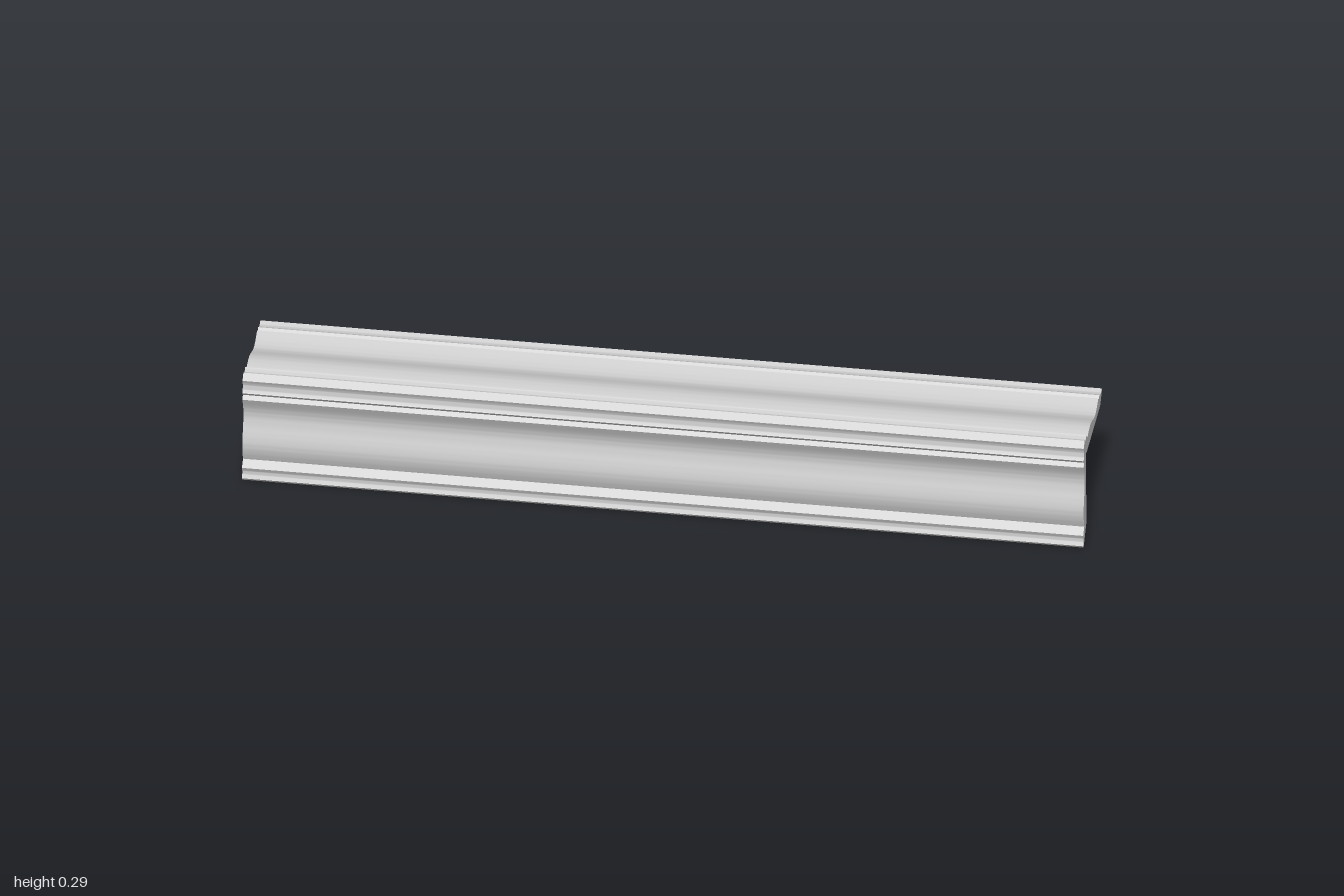
import * as THREE from 'three';
import { toCreasedNormals } from 'three/addons/utils/BufferGeometryUtils.js';

// Runs of the moulding profile as [z, y]; each run is one smooth curve,
// and runs meet at sharp corners.
const RUNS = [
  // lower lip
  [[0.142, 0.002], [0.149, 0.010]],
  [[0.149, 0.010], [0.1445, 0.018], [0.1435, 0.027], [0.149, 0.039]],
  [[0.149, 0.039], [0.132, 0.054]],
  // front face wave
  [[0.132, 0.054], [0.139, 0.074], [0.1425, 0.098], [0.138, 0.123], [0.130, 0.147],
    [0.125, 0.172], [0.129, 0.196], [0.142, 0.224]],
  // corner bead
  [[0.142, 0.224], [0.134, 0.233]],
  [[0.134, 0.233], [0.142, 0.242]],
  [[0.142, 0.242], [0.1365, 0.251], [0.1355, 0.263], [0.141, 0.276]],
  [[0.141, 0.276], [0.125, 0.289]],
  [[0.125, 0.289], [0.117, 0.283], [0.106, 0.282], [0.097, 0.287]],
  [[0.097, 0.287], [0.081, 0.270]],
  // top face wave
  [[0.081, 0.270], [0.062, 0.276], [0.038, 0.278], [0.014, 0.273], [-0.010, 0.264],
    [-0.036, 0.257], [-0.060, 0.260], [-0.090, 0.272]],
  // rear lip
  [[-0.090, 0.272], [-0.098, 0.264]],
  [[-0.098, 0.264], [-0.106, 0.271]],
  [[-0.106, 0.271], [-0.118, 0.265], [-0.129, 0.263], [-0.141, 0.268]],
  [[-0.141, 0.268], [-0.148, 0.260]],
  // plain inner side
  [[-0.148, 0.260], [-0.118, 0.234], [0.096, 0.237], [0.105, 0.247], [0.098, 0.044]],
];

function profilePoints() {
  const points = [];
  RUNS.forEach((run, i) => {
    const ends = run.map(([z, y]) => new THREE.Vector2(-z, y));
    const straight = run.length === 2 || i === RUNS.length - 1;
    const pts = straight ? ends : new THREE.SplineCurve(ends).getPoints((run.length - 1) * 4);
    points.push(...(i ? pts.slice(1) : pts));
  });
  return points;
}

export function createModel() {
  const group = new THREE.Group();
  group.name = 'corniceMoulding';
  const material = new THREE.MeshStandardMaterial({ color: 0xcccccc });

  // L-shaped moulding, extruded along x
  const moulding = new THREE.ExtrudeGeometry(new THREE.Shape(profilePoints()), {
    depth: 2, bevelEnabled: false,
  });
  moulding.translate(0, 0, -1);
  moulding.rotateY(Math.PI / 2);
  const trim = new THREE.Mesh(toCreasedNormals(moulding, Math.PI / 6), material);
  trim.name = 'moulding';
  group.add(trim);

  // small cube behind the front face
  const cube = new THREE.Mesh(new THREE.BoxGeometry(0.039, 0.039, 0.039), material);
  cube.name = 'innerCube';
  cube.position.set(0, 0.119, 0.059);
  group.add(cube);

  return group;
}
